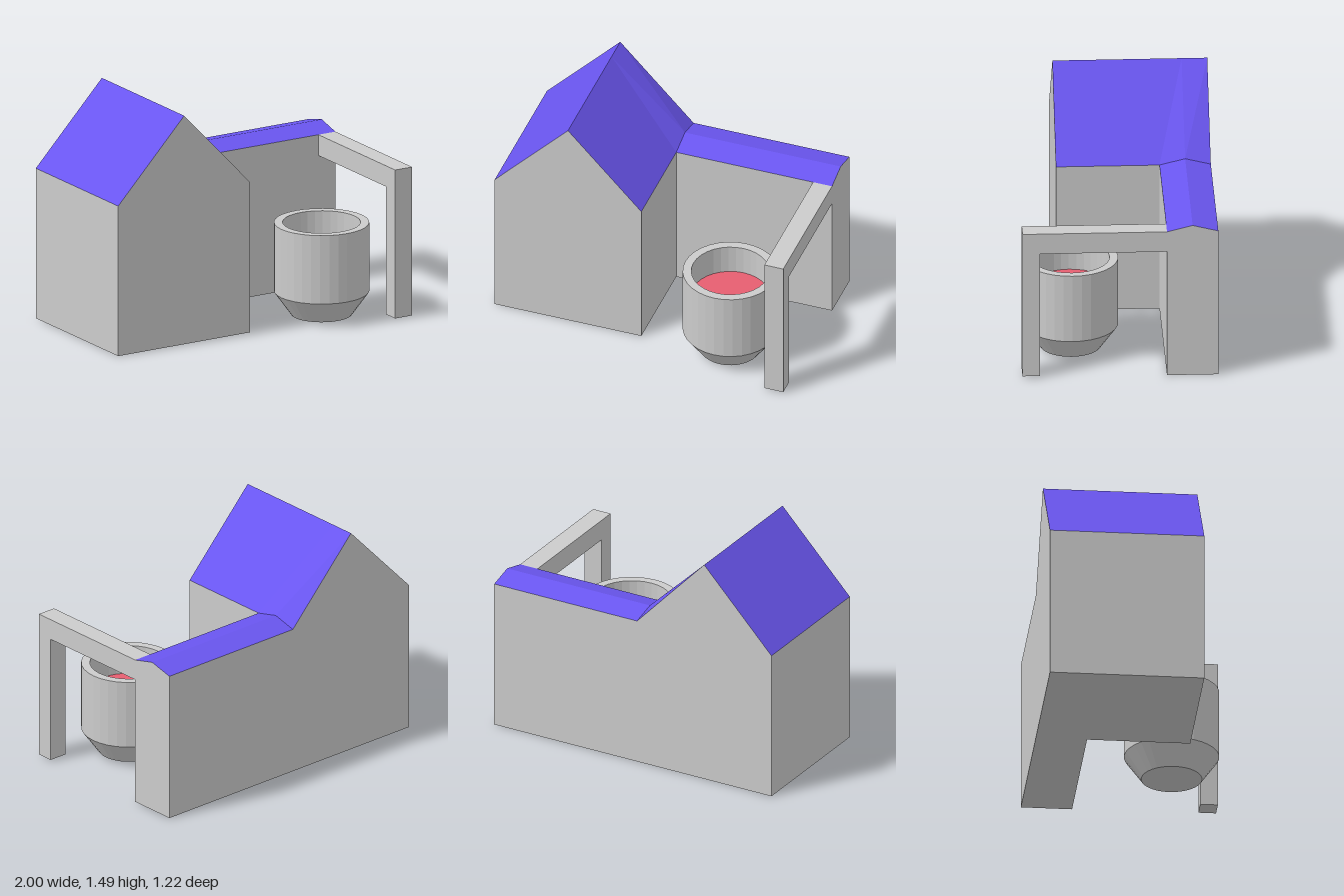
import * as THREE from 'three';

const grey = new THREE.MeshStandardMaterial({ color: 0xcccccc, flatShading: true });
const blue = new THREE.MeshStandardMaterial({ color: 0x6a56f0, flatShading: true });
const red = new THREE.MeshStandardMaterial({ color: 0xe65e70 });

// House and wing dimensions
const L = -1, M = -0.03, R = 1, RIDGE_X = (L + M) / 2;
const BACK = -0.61, WING = -0.29, FRONT = 0.355, RIDGE_Z = (BACK + WING) / 2;
const EAVE = 0.975, WING_TOP = 1.015, TOP = 1.485;

// Joins convex panels, corners listed counter-clockwise from outside
function panels(name, material, list) {
  const pos = [];
  for (const p of list)
    for (let i = 1; i < p.length - 1; i++) pos.push(...p[0], ...p[i], ...p[i + 1]);
  const g = new THREE.BufferGeometry();
  g.setAttribute('position', new THREE.Float32BufferAttribute(pos, 3));
  g.computeVertexNormals();
  return named(name, new THREE.Mesh(g, material));
}

function named(name, object) {
  object.name = name;
  return object;
}

// Flat panel facing +z or -z, from [x, y] corners
const facing = (z, pts) => pts.map(([x, y]) => [x, y, z]);
// Flat panel facing +x or -x, from [z, y] corners
const sideways = (x, pts) => pts.map(([z, y]) => [x, y, z]);
// Flat rectangle on the ground, facing down
const floor = (x0, x1, z0, z1) => [[x0, 0, z0], [x1, 0, z0], [x1, 0, z1], [x0, 0, z1]];

export function createModel() {
  const model = named('house', new THREE.Group());

  // Walls of the gabled house and the low wing
  const gable = [[L, 0], [M, 0], [M, EAVE], [RIDGE_X, TOP], [L, EAVE]];
  model.add(panels('walls', grey, [
    facing(FRONT, gable),
    facing(BACK, [...gable].reverse()),
    sideways(L, [[BACK, 0], [FRONT, 0], [FRONT, EAVE], [BACK, EAVE]]),
    sideways(M, [[FRONT, 0], [WING, 0], [WING, EAVE], [FRONT, EAVE]]),
    facing(WING, [[M, 0], [R, 0], [R, EAVE], [M, EAVE]]),
    facing(BACK, [[R, 0], [M, 0], [M, EAVE], [R, EAVE]]),
    sideways(R, [[WING, 0], [BACK, 0], [BACK, EAVE], [RIDGE_Z, WING_TOP], [WING, EAVE]]),
    floor(L, M, BACK, FRONT),
    floor(M, R, BACK, WING),
  ]));

  // House roof: the inner slope lifts slightly to meet the wing ridge
  const eaves = [[FRONT, EAVE], [WING, EAVE], [RIDGE_Z, WING_TOP], [BACK, EAVE]];
  const slopes = [[[L, EAVE, BACK], [L, EAVE, FRONT], [RIDGE_X, TOP, FRONT], [RIDGE_X, TOP, BACK]]];
  for (let i = 0; i < 3; i++) {
    const [z0, y0] = eaves[i], [z1, y1] = eaves[i + 1];
    slopes.push([[M, y0, z0], [M, y1, z1], [RIDGE_X, TOP, z1], [RIDGE_X, TOP, z0]]);
  }
  model.add(panels('houseRoof', blue, slopes));

  // Low wing roof
  model.add(panels('wingRoof', blue, [
    [[M, EAVE, WING], [R, EAVE, WING], [R, WING_TOP, RIDGE_Z], [M, WING_TOP, RIDGE_Z]],
    [[R, EAVE, BACK], [M, EAVE, BACK], [M, WING_TOP, RIDGE_Z], [R, WING_TOP, RIDGE_Z]],
  ]));

  // Post and beam reaching forward from the wing
  const outline = [[WING, 0.84], [0.5, 0.84], [0.5, 0.01], [0.61, 0.01], [0.61, EAVE], [WING, EAVE]];
  const shape = new THREE.Shape(outline.map(([z, y]) => new THREE.Vector2(-z, y)));
  const frame = new THREE.ExtrudeGeometry(shape, { depth: 0.125, bevelEnabled: false });
  frame.rotateY(Math.PI / 2).translate(0.875, 0, 0);
  model.add(named('postAndBeam', new THREE.Mesh(frame, grey)));

  // Hollow vat with a tapered foot, and its contents
  const vat = named('vat', new THREE.Group());
  const profile = [[0, 0.015], [0.19, 0.015], [0.297, 0.165], [0.297, 0.61], [0.243, 0.61], [0.243, 0.42]];
  const shell = new THREE.LatheGeometry(profile.map(([r, y]) => new THREE.Vector2(r, y)), 32);
  vat.add(named('vatShell', new THREE.Mesh(shell, grey)));
  const disc = new THREE.CircleGeometry(0.243, 32).rotateX(-Math.PI / 2).translate(0, 0.42, 0);
  vat.add(named('vatContents', new THREE.Mesh(disc, red)));
  vat.position.set(0.535, 0, 0.29);
  model.add(vat);

  return model;
}
